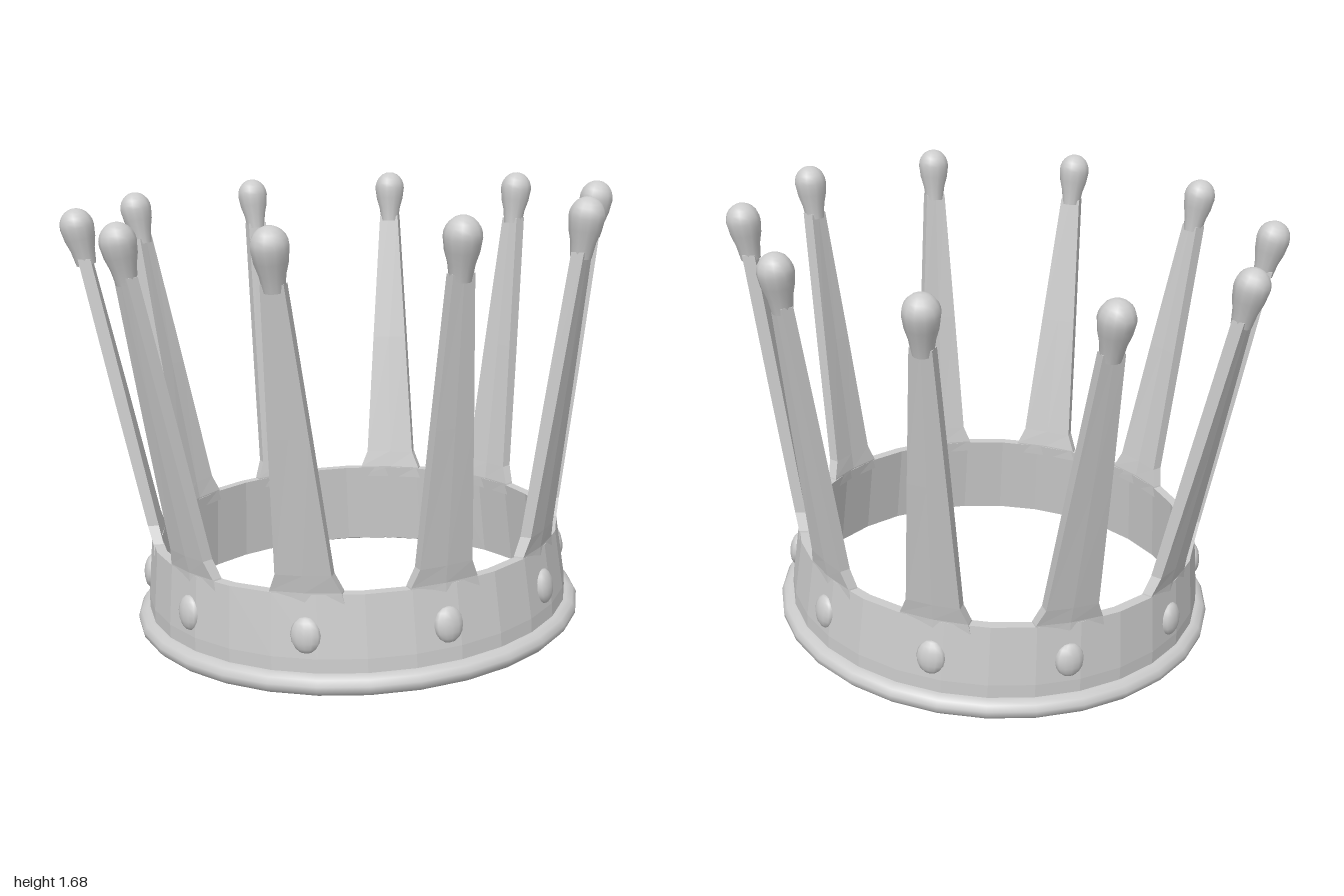
import * as THREE from 'three';

const COUNT = 10;
const START = THREE.MathUtils.degToRad(9);
const flat = new THREE.MeshStandardMaterial({ color: 0xcccccc, flatShading: true });
const smooth = new THREE.MeshStandardMaterial({ color: 0xcccccc });

function add(parent, name, geometry, material) {
  const mesh = new THREE.Mesh(geometry, material);
  mesh.name = name;
  parent.add(mesh);
  return mesh;
}

const lathe = (points, segments) =>
  new THREE.LatheGeometry(points.map(([r, y]) => new THREE.Vector2(r, y)), segments);

// Tapering spike facing +z, lofted through bowed cross-sections
function spikeGeometry() {
  // height, inner radius, outer radius, half width
  const levels = [
    [0.30, 0.737, 0.772, 0.135],
    [0.345, 0.735, 0.772, 0.125],
    [0.41, 0.745, 0.785, 0.098],
    [0.90, 0.825, 0.870, 0.069],
    [1.41, 0.912, 0.957, 0.038],
  ];
  const positions = [], index = [], n = 6;
  for (const [y, ri, ro, w] of levels) {
    const sag = (w * w) / 1.5;
    const ring = [[-w, ro - sag], [0, ro], [w, ro - sag], [w, ri - sag], [0, ri], [-w, ri - sag]];
    for (const [x, z] of ring) positions.push(x, y, z);
  }
  for (let l = 0; l < levels.length - 1; l++) {
    for (let i = 0; i < n; i++) {
      const a = l * n + i, b = l * n + ((i + 1) % n);
      index.push(a, b, b + n, a, b + n, a + n);
    }
  }
  const top = (levels.length - 1) * n;
  for (let i = 1; i < n - 1; i++) index.push(top, top + i, top + i + 1);
  const geometry = new THREE.BufferGeometry();
  geometry.setAttribute('position', new THREE.Float32BufferAttribute(positions, 3));
  geometry.setIndex(index);
  geometry.computeVertexNormals();
  return geometry;
}

// Teardrop knob, centred on its round part
function knobGeometry() {
  const points = [[0.036, -0.14], [0.044, -0.085], [0.056, -0.045]];
  for (let i = 0; i <= 7; i++) {
    const t = THREE.MathUtils.lerp(-0.3, Math.PI / 2, i / 7);
    points.push([0.062 * Math.max(0, Math.cos(t)), 0.066 * Math.sin(t)]);
  }
  return lathe(points, 12);
}

export function createModel() {
  const model = new THREE.Group();
  model.name = 'crown';

  // The whole crown leans slightly to the back and right
  const crown = new THREE.Group();
  crown.name = 'tiltedCrown';
  crown.quaternion.setFromUnitVectors(
    new THREE.Vector3(0, 1, 0), new THREE.Vector3(-0.037, 1, -0.037).normalize());
  crown.position.set(0.012, 0.044, 0.042);
  model.add(crown);

  // Faceted band, slightly narrower at the top
  add(crown, 'band', lathe([
    [0.765, 0.01], [0.80, 0.01], [0.797, 0.12], [0.772, 0.34],
    [0.735, 0.34], [0.765, 0.01],
  ], 30), flat);

  // Rounded rim around the foot of the band
  add(crown, 'rim', lathe([
    [0.762, 0.012], [0.79, 0], [0.826, 0.003], [0.842, 0.02], [0.844, 0.04],
    [0.832, 0.06], [0.81, 0.07], [0.79, 0.07],
  ], 30), smooth);

  const spike = spikeGeometry();
  const knob = knobGeometry();
  const stud = new THREE.SphereGeometry(1, 12, 8);

  for (let i = 0; i < COUNT; i++) {
    const point = new THREE.Group();
    point.name = 'crownPoint' + (i + 1);
    point.rotation.y = START + (i * Math.PI * 2) / COUNT;
    crown.add(point);

    add(point, 'spike', spike, flat);

    const ball = add(point, 'knob', knob, smooth);
    ball.position.set(0, 1.525, 0.952);
    ball.rotation.x = 0.16;

    const gem = add(point, 'stud', stud, smooth);
    gem.position.set(0, 0.2, 0.782);
    gem.scale.set(0.054, 0.064, 0.03);
    gem.rotation.x = -0.1;
  }
  return model;
}
